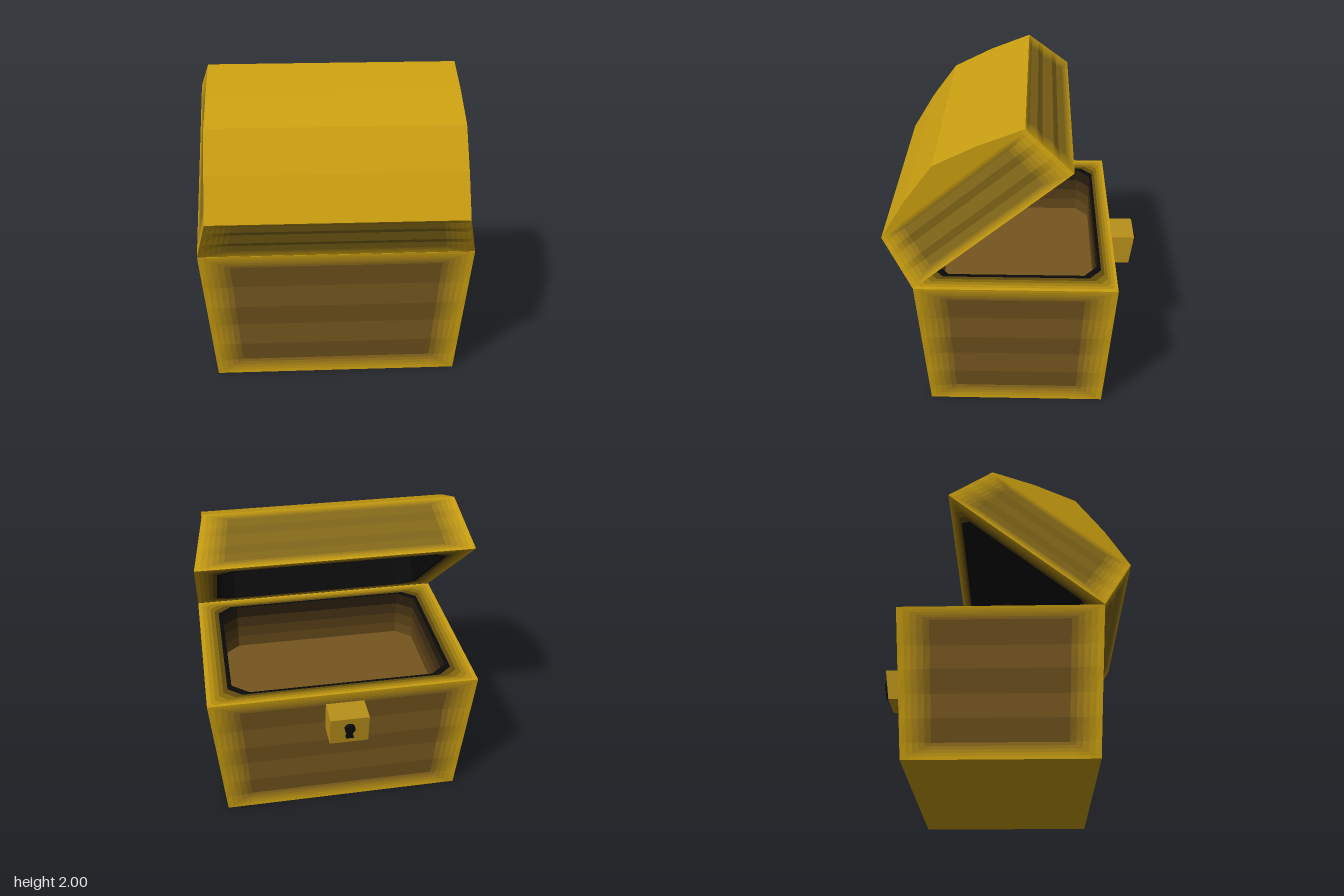
import * as THREE from 'three';

const GOLD = new THREE.Color(0xc99e10);
const BROWN = new THREE.Color(0x75561f);
const LID_WOOD = new THREE.Color(0x84691a);
const BLACK = new THREE.Color(0x0a0a0a);
const V = (x, y, z) => new THREE.Vector3(x, y, z);
const mix = (a, b, t) => a.clone().lerp(b, t);

function mesh(name, geometry, color) {
  const m = new THREE.Mesh(geometry, new THREE.MeshStandardMaterial({ color, flatShading: true }));
  m.name = name;
  return m;
}

// Mesh from a list of counter-clockwise quads
function quadMesh(name, quads, color) {
  const points = quads.flatMap(([a, b, c, d]) => [a, b, c, a, c, d]);
  const g = new THREE.BufferGeometry().setFromPoints(points);
  g.computeVertexNormals();
  return mesh(name, g, color);
}

// Wall with a gold border fading into corrugated planks.
// rows: [v, depth] pairs for the planks between bottom and top edge
function panel(name, [bl, br, tr, tl], rows, wood) {
  const group = new THREE.Group();
  group.name = name;
  const width = br.distanceTo(bl), steps = 5;
  const normal = br.clone().sub(bl).cross(tl.clone().sub(bl)).normalize();
  const inset = 0.18 / width;
  const us = [], vs = [];
  const [v0, d0] = rows[0], [v1, d1] = rows[rows.length - 1];
  for (let i = 0; i < steps; i++) {
    us.push([inset * i / steps, i / steps]);
    vs.push([v0 * i / steps, d0 * i / steps]);
  }
  us.push([inset, 1], [1 - inset, 1]);
  vs.push(...rows);
  for (let i = steps - 1; i >= 0; i--) {
    us.push([1 - inset * i / steps, i / steps]);
    vs.push([1 - (1 - v1) * i / steps, d1 * i / steps]);
  }
  const at = (i, j) => {
    const [u, ramp] = us[i], [v, depth] = vs[j];
    return bl.clone().lerp(br, u).lerp(tl.clone().lerp(tr, u), v)
      .addScaledVector(normal, -depth * ramp);
  };
  const rings = Array.from({ length: steps + 1 }, () => []);
  const nu = us.length - 1, nv = vs.length - 1;
  for (let i = 0; i < nu; i++) {
    for (let j = 0; j < nv; j++) {
      const ring = Math.min(i, j, nu - 1 - i, nv - 1 - j, steps);
      rings[ring].push([at(i, j), at(i + 1, j), at(i + 1, j + 1), at(i, j + 1)]);
    }
  }
  rings.forEach((quads, k) => group.add(
    quadMesh(k === steps ? 'planks' : 'border', quads, mix(GOLD, wood, k / steps))));
  return group;
}

// Four sloping walls between two rectangles
function walls(name, w0, d0, y0, w1, d1, y1, rows, wood) {
  const group = new THREE.Group();
  group.name = name;
  const signs = [[-1, 1], [1, 1], [1, -1], [-1, -1]];
  const names = ['frontWall', 'leftWall', 'backWall', 'rightWall'];
  signs.forEach(([ax, az], i) => {
    const [bx, bz] = signs[(i + 1) % 4];
    group.add(panel(names[i], [
      V(ax * w0, y0, az * d0), V(bx * w0, y0, bz * d0),
      V(bx * w1, y1, bz * d1), V(ax * w1, y1, az * d1)], rows, wood));
  });
  return group;
}

// Flat rim and eight-sided hollow; depth is signed along y
function hollow(name, y, depth, floorColor) {
  const group = new THREE.Group();
  group.name = name;
  const W = 0.89, D = 0.635, a = 0.72, b = 0.61, c = 0.43, d = 0.52;
  const outer = [], inner = [];
  for (const [sx, sz] of [[-1, 1], [1, 1], [1, -1], [-1, -1]]) {
    const cut = [V(sx * a, y, sz * c), V(sx * b, y, sz * d)];
    if (sx * sz > 0) cut.reverse();
    inner.push(...cut);
    outer.push(V(sx * W, y, sz * D), V(sx * W, y, sz * D));
  }
  if (depth > 0) {
    outer.reverse();
    inner.reverse();
  }
  const band = (part, A, B, color) => group.add(quadMesh(part, A.map((p, i) => {
    const n = (i + 1) % 8;
    return [p, A[n], B[n], B[i]];
  }), color));
  const rimAt = t => outer.map((p, i) => p.clone().lerp(inner[i], t));
  const wallAt = t => inner.map(p => V(p.x, y + depth * t, p.z));
  for (let k = 0; k < 6; k++) {
    band('rim', rimAt(k / 6), rimAt((k + 1) / 6), mix(GOLD, BLACK, k / 5));
  }
  for (let k = 0; k < 4; k++) {
    band('innerWall', wallAt(k / 4), wallAt((k + 1) / 4), mix(BLACK, floorColor, (k + 0.5) / 5));
  }
  band('innerFloor', wallAt(1), inner.map(() => V(0, y + depth, 0)), floorColor);
  return group;
}

// Side profile in (-z, y), extruded along x
function alongX(points, width) {
  const shape = new THREE.Shape(points.map(p => new THREE.Vector2(...p)));
  return new THREE.ExtrudeGeometry(shape, { depth: width, bevelEnabled: false })
    .translate(0, 0, -width / 2).rotateY(Math.PI / 2);
}

export function createModel() {
  const model = new THREE.Group();
  model.name = 'chest';

  // Body
  const body = new THREE.Group();
  body.name = 'body';
  const bodyRows = [[0.11, 0.018], [0.26, 0.004], [0.42, 0.018], [0.58, 0.004],
    [0.74, 0.018], [0.91, 0.004]];
  body.add(walls('bodyWalls', 0.81, 0.575, 0, 0.89, 0.635, 0.95, bodyRows, BROWN));
  body.add(hollow('bodyHollow', 0.95, -0.34, BROWN));
  body.add(mesh('underside', new THREE.PlaneGeometry(1.62, 1.15).rotateX(Math.PI / 2), GOLD));
  model.add(body);

  // Lid, swung open about the hinge edge
  const lid = new THREE.Group();
  lid.name = 'lid';
  const shell = new THREE.Group();
  shell.name = 'lidShell';
  shell.position.z = -0.635;
  const lidRows = [[0.14, 0.008], [0.28, 0.016], [0.41, 0.004], [0.62, 0.016],
    [0.75, 0.004], [0.9, 0.012]];
  shell.add(walls('lidWalls', 0.89, 0.635, 0, 0.81, 0.57, 0.363, lidRows, LID_WOOD));
  shell.add(hollow('lidHollow', 0, 0.3, BLACK));
  shell.add(mesh('lidArch', alongX([[-0.57, 0.363], [0.57, 0.363], [0.288, 0.458],
    [0, 0.527], [-0.288, 0.458]], 1.62), GOLD));
  lid.add(shell);
  lid.position.set(0, 0.952, 0.635);
  lid.rotation.x = THREE.MathUtils.degToRad(40);
  model.add(lid);

  // Lock
  model.add(mesh('lock', alongX([[0.59, 0.66], [0.775, 0.66], [0.803, 0.87], [0.59, 0.87]], 0.255),
    new THREE.Color(0xb8901a)));

  // Keyhole: round top with a flared tail
  const hole = new THREE.Shape();
  hole.moveTo(-0.026, -0.055);
  hole.lineTo(0.026, -0.055);
  hole.lineTo(0.016, -0.008);
  hole.absarc(0, 0.02, 0.034, -1.08, Math.PI + 1.08, false);
  hole.closePath();
  const keyhole = mesh('keyhole', new THREE.ExtrudeGeometry(hole,
    { depth: 0.035, bevelEnabled: false, curveSegments: 8 }).translate(0, 0, -0.025), BLACK);
  keyhole.position.set(0, 0.775, -0.79);
  keyhole.rotation.x = -0.13;
  model.add(keyhole);

  return model;
}
